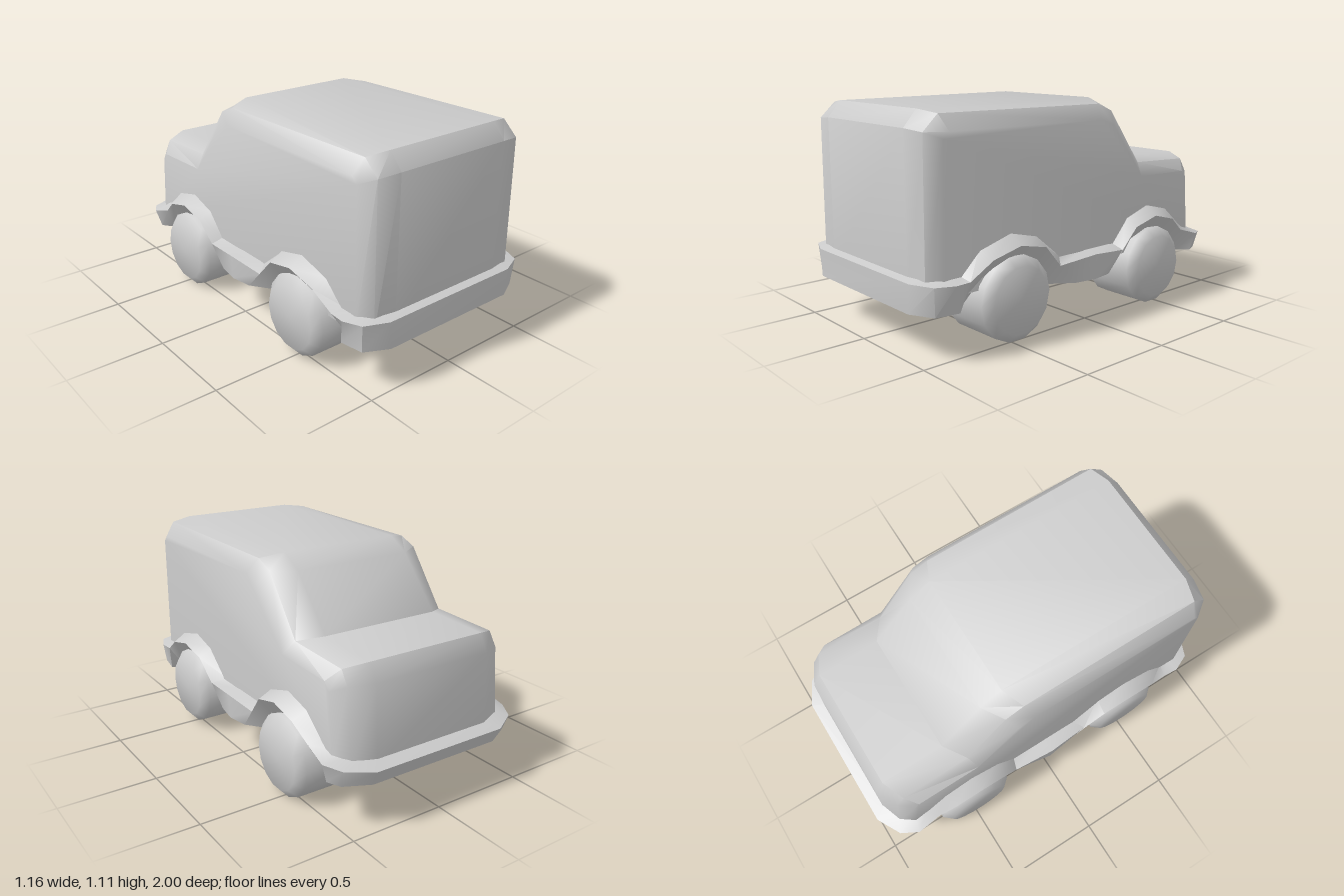
import * as THREE from 'three';
import { toCreasedNormals } from 'three/addons/utils/BufferGeometryUtils.js';

const material = new THREE.MeshStandardMaterial({ color: 0xcccccc });

function makeMesh(name, geometry, crease) {
  const mesh = new THREE.Mesh(toCreasedNormals(geometry, crease), material);
  mesh.name = name;
  return mesh;
}

// Joins cross-sections into a skin; each cap is a flat loop of points facing a given way
function skin(rings, closeRings, closePoints, caps) {
  const positions = [];
  const tri = (a, b, c) => positions.push(...a, ...b, ...c);
  const n = rings.length, m = rings[0].length;
  for (let i = 0; i < (closeRings ? n : n - 1); i++) {
    for (let j = 0; j < (closePoints ? m : m - 1); j++) {
      const r = rings[i], s = rings[(i + 1) % n], k = (j + 1) % m;
      tri(r[j], s[j], s[k]);
      tri(r[j], s[k], r[k]);
    }
  }
  for (const { loop, axis, sign } of caps) {
    const [u, v] = [(axis + 1) % 3, (axis + 2) % 3];
    const flat = loop.map(p => new THREE.Vector2(p[u], p[v]));
    for (const [a, b, c] of THREE.ShapeUtils.triangulateShape(flat, [])) {
      const turn = flat[b].clone().sub(flat[a]).cross(flat[c].clone().sub(flat[a]));
      if (turn * sign > 0) tri(loop[a], loop[b], loop[c]);
      else tri(loop[a], loop[c], loop[b]);
    }
  }
  const geometry = new THREE.BufferGeometry();
  geometry.setAttribute('position', new THREE.Float32BufferAttribute(positions, 3));
  return geometry;
}

// Cabin and hood: side profiles (z, y) that shrink towards the flanks
function makeBody() {
  const profiles = [
    [0.33, [[0.96, 0.3], [0.96, 1.04], [0.89, 1.12], [-0.18, 1.12], [-0.30, 1.05],
      [-0.53, 0.79], [-0.87, 0.775], [-0.92, 0.69], [-0.94, 0.3]]],
    [0.445, [[0.945, 0.3], [0.94, 1.03], [0.86, 1.105], [-0.13, 1.095], [-0.23, 1.055],
      [-0.45, 0.765], [-0.82, 0.75], [-0.865, 0.68], [-0.9, 0.3]]],
    [0.5, [[0.88, 0.3], [0.87, 1.0], [0.84, 1.03], [-0.10, 1.02], [-0.19, 0.99],
      [-0.42, 0.7], [-0.77, 0.69], [-0.80, 0.65], [-0.83, 0.3]]],
  ];
  const ring = (x, pts) => pts.map(([z, y]) => [x, y, z]);
  const rightHalf = profiles.map(([x, pts]) => ring(-x, pts)).reverse();
  const leftHalf = profiles.map(([x, pts]) => ring(x, pts));
  const rings = [...rightHalf, ...leftHalf];
  return makeMesh('body', skin(rings, false, true, [
    { loop: rings[0], axis: 0, sign: -1 },
    { loop: rings[rings.length - 1], axis: 0, sign: 1 },
  ]), 0.72);
}

// Bumpers, sills and wheel arches: floor edge, outer edge and top edge, from tail to nose
function makeSkirt() {
  const floorY = 0.23;
  const left = [
    [[0.39, 1.0], [0.40, 0.37, 1.0], [0.40, 0.385, 0.94]],
    [[0.51, 0.94], [0.52, 0.37, 0.95], [0.47, 0.385, 0.89]],
    [[0.53, 0.82], [0.56, 0.37, 0.86], [0.49, 0.385, 0.84]],
    [[0.46, 0.78], [0.555, 0.37, 0.78], [0.49, 0.385, 0.79]],
    [[0.40, 0.68], [0.57, 0.45, 0.66], [0.49, 0.49, 0.68]],
    [[0.36, 0.50], [0.575, 0.49, 0.50], [0.49, 0.54, 0.50]],
    [[0.40, 0.34], [0.57, 0.455, 0.34], [0.49, 0.50, 0.34]],
    [[0.55, 0.12], [0.555, 0.34, 0.23], [0.49, 0.37, 0.18]],
    [[0.57, 0.0], [0.575, 0.36, 0.0], [0.49, 0.37, 0.0]],
    [[0.55, -0.12], [0.555, 0.34, -0.22], [0.49, 0.37, -0.20]],
    [[0.40, -0.31], [0.57, 0.45, -0.31], [0.49, 0.49, -0.31]],
    [[0.36, -0.47], [0.575, 0.49, -0.46], [0.49, 0.54, -0.47]],
    [[0.40, -0.63], [0.57, 0.45, -0.61], [0.49, 0.50, -0.63]],
    [[0.48, -0.76], [0.55, 0.37, -0.71], [0.49, 0.40, -0.75]],
    [[0.53, -0.83], [0.56, 0.33, -0.84], [0.47, 0.365, -0.82]],
    [[0.50, -0.90], [0.51, 0.32, -0.93], [0.43, 0.35, -0.88]],
    [[0.37, -0.965], [0.38, 0.31, -1.0], [0.33, 0.34, -0.92]],
  ].map(([[x, z], outer, top]) => [[x, floorY, z], outer, top]);
  const right = left.map(s => s.map(([x, y, z]) => [-x, y, z])).reverse();
  const rings = [...left, ...right];
  const floor = { loop: rings.map(s => s[0]), axis: 1, sign: -1 };
  return makeMesh('bumpersAndWheelArches', skin(rings, true, false, [floor]), 0.72);
}

// Wheel: wide drum with a softened outer shoulder
function makeWheel(name, side, y, z) {
  const profile = [[0, 0.265], [0.21, 0.265], [0.21, 0.54], [0.165, 0.58], [0, 0.58]];
  const geometry = new THREE.LatheGeometry(profile.map(p => new THREE.Vector2(...p)), 14);
  geometry.rotateZ(-side * Math.PI / 2);
  const wheel = makeMesh(name, geometry, 1.0);
  wheel.position.set(0, y, z);
  return wheel;
}

export function createModel() {
  const model = new THREE.Group();
  model.name = 'offRoadCar';
  model.add(makeBody(), makeSkirt());
  for (const side of [-1, 1]) {
    const label = side > 0 ? 'left' : 'right';
    model.add(makeWheel(label + 'TailWheel', side, 0.23, 0.5));
    model.add(makeWheel(label + 'HoodWheel', side, 0.21, -0.48));
  }
  return model;
}
